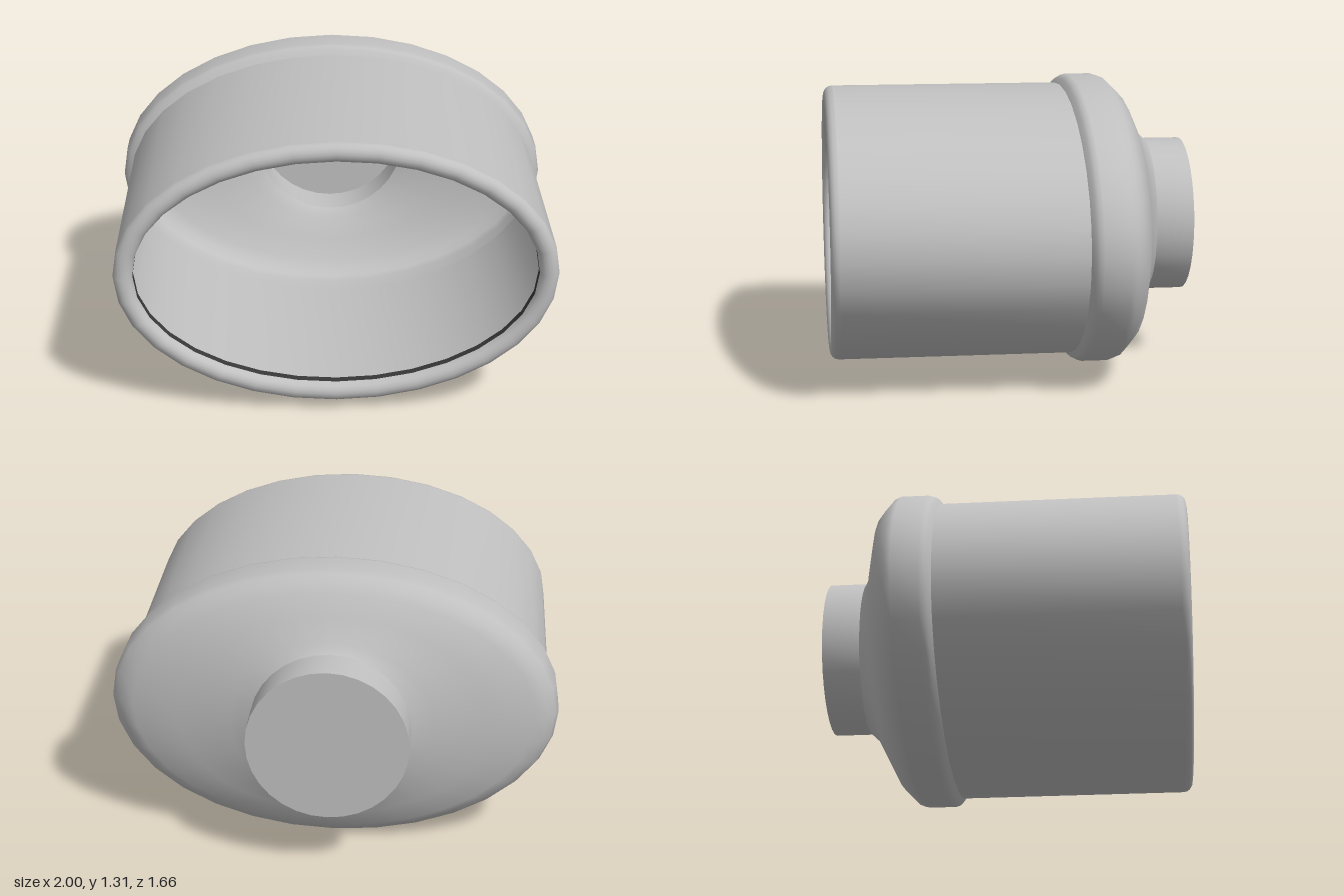
import * as THREE from 'three';

const SEGMENTS = 32;
const CENTRE_Y = 0.656;

// Smooth skin through elliptical rings [z, radiusX, radiusY], listed front to back
function loft(rings) {
  const positions = [], index = [];
  rings.forEach(([z, rx, ry], i) => {
    for (let j = 0; j < SEGMENTS; j++) {
      const a = (j / SEGMENTS) * Math.PI * 2;
      positions.push(rx * Math.cos(a), CENTRE_Y + ry * Math.sin(a), z);
      if (i === 0) continue;
      const k = (j + 1) % SEGMENTS;
      const a0 = (i - 1) * SEGMENTS + j, a1 = (i - 1) * SEGMENTS + k;
      const b0 = i * SEGMENTS + j, b1 = i * SEGMENTS + k;
      index.push(a0, b0, a1, a1, b0, b1);
    }
  });
  const geometry = new THREE.BufferGeometry();
  geometry.setAttribute('position', new THREE.Float32BufferAttribute(positions, 3));
  geometry.setIndex(index);
  geometry.computeVertexNormals();
  return geometry;
}

export function createModel() {
  const steel = new THREE.MeshStandardMaterial({ color: 0xc0c0c0, side: THREE.DoubleSide });
  steel.name = 'steel';
  const dark = new THREE.MeshStandardMaterial({ color: 0x383838, side: THREE.DoubleSide });
  dark.name = 'dark seam';

  const group = new THREE.Group();
  group.name = 'ovalExhaustTip';
  const add = (name, geometry, material = steel) => {
    const mesh = new THREE.Mesh(geometry, material);
    mesh.name = name;
    group.add(mesh);
    return mesh;
  };

  // Thin oval sleeve
  add('sleeve', loft([[0.79, 0.96, 0.615], [-0.26, 0.96, 0.615]]));

  // Rolled lip, curling from the inner edge round to the sleeve
  const lip = [];
  for (let i = 0; i <= 8; i++) {
    const a = (i / 8) * Math.PI;
    const inset = 0.0425 * (1 + Math.cos(a));
    lip.push([0.79 + 0.04 * Math.sin(a), 0.96 - inset, 0.615 - inset]);
  }
  add('rolledLip', loft(lip));
  add('lipSeam', loft([[0.79, 0.875, 0.53], [0.755, 0.875, 0.53]]), dark);

  // Bulging collar that tapers from the oval to the round inlet
  add('collar', loft([
    [-0.26, 0.96, 0.615], [-0.275, 0.982, 0.637], [-0.29, 0.994, 0.65], [-0.31, 1.0, 0.656],
    [-0.43, 1.0, 0.656], [-0.46, 0.985, 0.645], [-0.49, 0.95, 0.615], [-0.525, 0.895, 0.58],
    [-0.57, 0.69, 0.49], [-0.62, 0.45, 0.39], [-0.66, 0.355, 0.355],
  ]));

  // Round inlet pipe with its closed end
  add('inletPipe', loft([[-0.66, 0.355, 0.355], [-0.83, 0.355, 0.355]]));
  const cap = add('inletCap', new THREE.CircleGeometry(0.355, SEGMENTS));
  cap.rotation.y = Math.PI;
  cap.position.set(0, CENTRE_Y, -0.83);

  return group;
}
